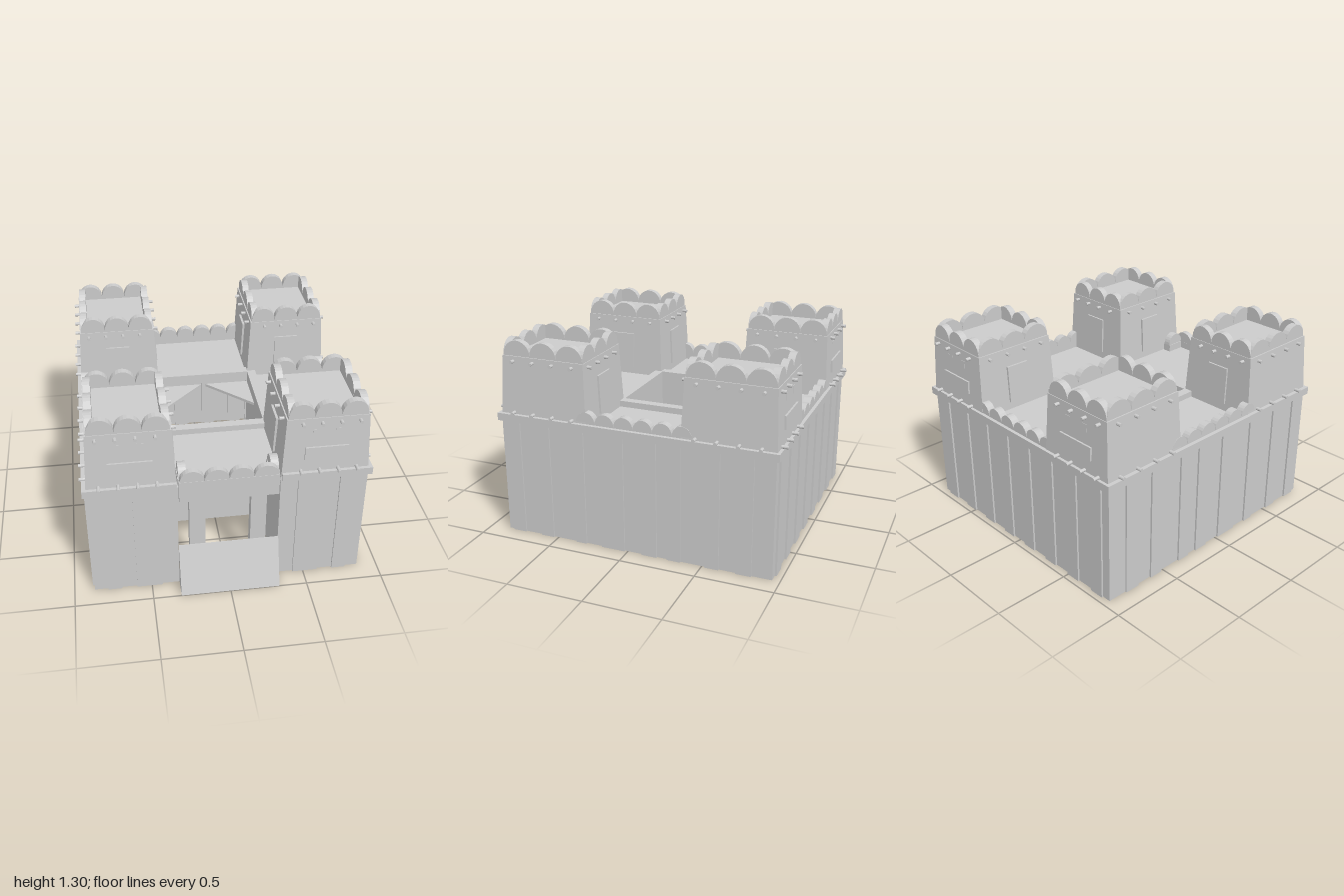
import * as THREE from 'three';

const mat = new THREE.MeshStandardMaterial({ color: 0xcccccc, flatShading: true, side: THREE.DoubleSide });

function add(parent, name, geo, x = 0, y = 0, z = 0) {
  const m = new THREE.Mesh(geo, mat);
  m.name = name;
  m.position.set(x, y, z);
  parent.add(m);
  return m;
}

// Box given by its minimum and maximum on each axis
function box(parent, name, x0, x1, y0, y1, z0, z1) {
  return add(parent, name, new THREE.BoxGeometry(Math.abs(x1 - x0), y1 - y0, Math.abs(z1 - z0)),
    (x0 + x1) / 2, (y0 + y1) / 2, (z0 + z1) / 2);
}

function group(parent, name, x = 0, y = 0, z = 0) {
  const g = new THREE.Group();
  g.name = name;
  g.position.set(x, y, z);
  parent.add(g);
  return g;
}

// Row of rounded merlons along x, centred on z = 0, standing on y = 0
function scallops(parent, name, count, pitch, height, depth, base = 0.02) {
  const g = group(parent, name);
  const s = new THREE.Shape();
  s.moveTo(-pitch / 2, -base);
  s.lineTo(pitch / 2, -base);
  s.lineTo(pitch / 2, 0);
  for (let i = 1; i <= 12; i++) {
    const a = (i / 12) * Math.PI;
    s.lineTo(Math.cos(a) * pitch / 2, Math.sin(a) * height);
  }
  const geo = new THREE.ExtrudeGeometry(s, { depth, bevelEnabled: false });
  geo.translate(0, 0, -depth / 2);
  for (let i = 0; i < count; i++) add(g, 'merlon', geo, (i - (count - 1) / 2) * pitch);
  return g;
}

function log(parent, axis, length, x, y, z) {
  const geo = new THREE.CylinderGeometry(0.011, 0.011, length, 10);
  if (axis === 'x') geo.rotateZ(Math.PI / 2);
  else geo.rotateX(Math.PI / 2);
  add(parent, 'logEnd', geo, x, y, z);
}

// Tower standing on the deck; sx and sz point to its outer sides
function tower(parent, sx, sz) {
  const g = group(parent, 'tower', sx * 0.595, 0, sz > 0 ? 0.57 : -0.655);
  const body = new THREE.BoxGeometry(0.55, 0.42, 0.6);
  const p = body.attributes.position;
  for (let i = 0; i < p.count; i++) {
    if (p.getY(i) > 0) { p.setX(i, p.getX(i) * 0.92); p.setZ(i, p.getZ(i) * 0.94); }
  }
  body.computeVertexNormals();
  add(g, 'towerBody', body, 0, 0.99, 0);

  // battlements on four sides
  for (const s of [-1, 1]) {
    scallops(g, 'battlement', 3, 0.163, 0.09, 0.045).position.set(0, 1.21, s * 0.255);
    const side = scallops(g, 'battlement', 3, 0.183, 0.09, 0.045);
    side.position.set(s * 0.2225, 1.21, 0);
    side.rotation.y = Math.PI / 2;
  }

  // beams that pass through under the battlements, and log ends at deck level
  for (const t of [-1.5, -0.5, 0.5, 1.5]) {
    const bx = sx * 0.02 + t * 0.117, bz = t * 0.137;
    log(g, 'z', 0.63, bx, 1.168, 0);
    log(g, 'x', 0.57, 0, 1.168, bz);
    log(g, 'z', 0.12, bx, 0.835, sz * (sz > 0 ? 0.29 : 0.28));
    log(g, 'x', 0.12, sx * 0.25, 0.835, bz);
  }

  // plaque and small windows on the outer face
  const tilt = Math.atan(0.018 / 0.42);
  const outer = group(g, 'outerFace', 0, 0.99, sz * 0.291);
  outer.rotation.x = -sz * tilt;
  box(outer, 'plaque', -0.135, 0.135, -0.075, 0.01, -0.012, 0.012);
  for (const wx of [-0.07, 0.07]) box(outer, 'window', wx - 0.022, wx + 0.022, 0.09, 0.135, -0.002, 0.002);

  // doors on the two inner faces
  const doorZ = box(g, 'door', -0.08, 0.08, 0.83, 1.08, -sz * 0.275, -sz * 0.305);
  doorZ.rotation.x = sz * tilt;
  const doorX = box(g, 'door', -sx * 0.25, -sx * 0.28, 0.83, 1.08, -0.08, 0.08);
  doorX.rotation.z = -sx * tilt;
}

export function createModel() {
  const model = new THREE.Group();
  model.name = 'fort';

  // outer plank walls
  const walls = group(model, 'plankWalls');
  const sidePlanks = [[0.83, 0.74], [0.62, 0.53], [0.365, 0.29], [0.18, 0.02],
    [-0.1, -0.2], [-0.27, -0.36], [-0.52, -0.61], [-0.72, -0.82]];
  const frontPlanks = [[0.43, 0.595], [0.695, 0.785]];
  for (const s of [-1, 1]) {
    box(walls, 'sideWall', s * 0.855, s * 0.87, 0, 0.78, -0.95, 0.87);
    for (const [a, b] of sidePlanks) box(walls, 'plank', s * 0.84, s * 0.882, 0, 0.775, b, a);
    box(walls, 'frontWall', s * 0.32, s * 0.87, 0, 0.78, 0.855, 0.87);
    for (const [a, b] of frontPlanks) box(walls, 'plank', s * a, s * b, 0, 0.775, 0.84, 0.882);
    box(walls, 'trim', s * 0.855, s * 0.893, 0.775, 0.825, -0.97, 0.89);
    box(walls, 'frontTrim', s * 0.325, s * 0.893, 0.775, 0.825, 0.85, 0.89);
  }
  box(walls, 'backWall', -0.87, 0.87, 0, 0.78, -0.95, -0.935);
  for (let i = 0; i < 8; i++) {
    const x = (i - 3.5) * 0.218;
    box(walls, 'plank', x - 0.05, x + 0.05, 0, 0.775, -0.962, -0.92);
  }
  box(walls, 'backTrim', -0.893, 0.893, 0.775, 0.825, -0.972, -0.935);

  // deck with a rectangular opening over the courtyard
  const rect = (C, x0, x1, z0, z1) => new C([[x0, z0], [x1, z0], [x1, z1], [x0, z1]]
    .map(([x, z]) => new THREE.Vector2(x, -z)));
  const flat = (shape, depth) => new THREE.ExtrudeGeometry(shape, { depth, bevelEnabled: false })
    .rotateX(-Math.PI / 2);
  const deck = rect(THREE.Shape, -0.86, 0.86, -0.945, 0.865);
  deck.holes.push(rect(THREE.Path, -0.32, 0.32, -0.345, 0.26));
  add(model, 'deck', flat(deck, 0.03), 0, 0.75, 0);
  const curb = rect(THREE.Shape, -0.38, 0.38, -0.41, 0.32);
  curb.holes.push(rect(THREE.Path, -0.32, 0.32, -0.345, 0.26));
  add(model, 'curb', flat(curb, 0.05), 0, 0.77, 0);

  // courtyard: inner walls, corner plates and doors
  const yard = group(model, 'courtyard');
  for (const s of [-1, 1]) {
    box(yard, 'innerWall', s * 0.32, s * 0.335, 0, 0.76, -0.345, 0.87);
    box(yard, 'partition', s * 0.32, s * 0.86, 0, 0.76, -0.41, -0.395);
    const tri = new THREE.Shape([[0.32, 0.05], [0.32, 0.345], [0.015, 0.345]]
      .map(([x, y]) => new THREE.Vector2(s * x, y)));
    add(yard, 'cornerPlate', flat(tri, 0.02), 0, 0.72, 0);
  }
  box(yard, 'gateHallBack', -0.32, 0.32, 0, 0.76, 0.26, 0.275);
  box(yard, 'hallDoor', -0.14, 0.14, 0, 0.5, 0.25, 0.262);
  box(yard, 'sideDoor', -0.322, -0.312, 0, 0.5, 0.02, 0.16);

  // gate: posts, lintel, battlement and entrance ramp
  const gate = group(model, 'gate');
  for (const s of [-1, 1]) {
    box(gate, 'gatePost', s * 0.145, s * 0.245, 0, 0.76, 0.78, 0.84);
    box(gate, 'gateWing', s * 0.255, s * 0.315, 0.77, 0.83, 0.72, 0.85);
    const wing = scallops(gate, 'wingBattlement', 1, 0.13, 0.075, 0.05);
    wing.position.set(s * 0.285, 0.83, 0.785);
    wing.rotation.y = Math.PI / 2;
  }
  box(gate, 'lintel', -0.31, 0.31, 0.68, 0.83, 0.845, 0.888);
  scallops(gate, 'gateBattlement', 4, 0.153, 0.075, 0.04).position.set(0, 0.83, 0.866);
  const wedge = new THREE.Shape([[0.88, 0], [1.0, 0], [0.885, 0.325], [0.88, 0.325]]
    .map(([z, y]) => new THREE.Vector2(-z, y)));
  const ramp = new THREE.ExtrudeGeometry(wedge, { depth: 0.64, bevelEnabled: false });
  ramp.rotateY(Math.PI / 2);
  add(gate, 'ramp', ramp, -0.32, 0, 0);

  // parapets between the towers
  for (const s of [-1, 1]) {
    const side = scallops(model, 'sideParapet', 6, 0.128, 0.07, 0.05, 0.05);
    side.position.set(s * 0.842, 0.83, -0.045);
    side.rotation.y = Math.PI / 2;
  }
  scallops(model, 'backParapet', 6, 0.128, 0.07, 0.05, 0.05).position.set(0, 0.83, -0.925);

  for (const sx of [-1, 1]) for (const sz of [-1, 1]) tower(model, sx, sz);
  return model;
}
